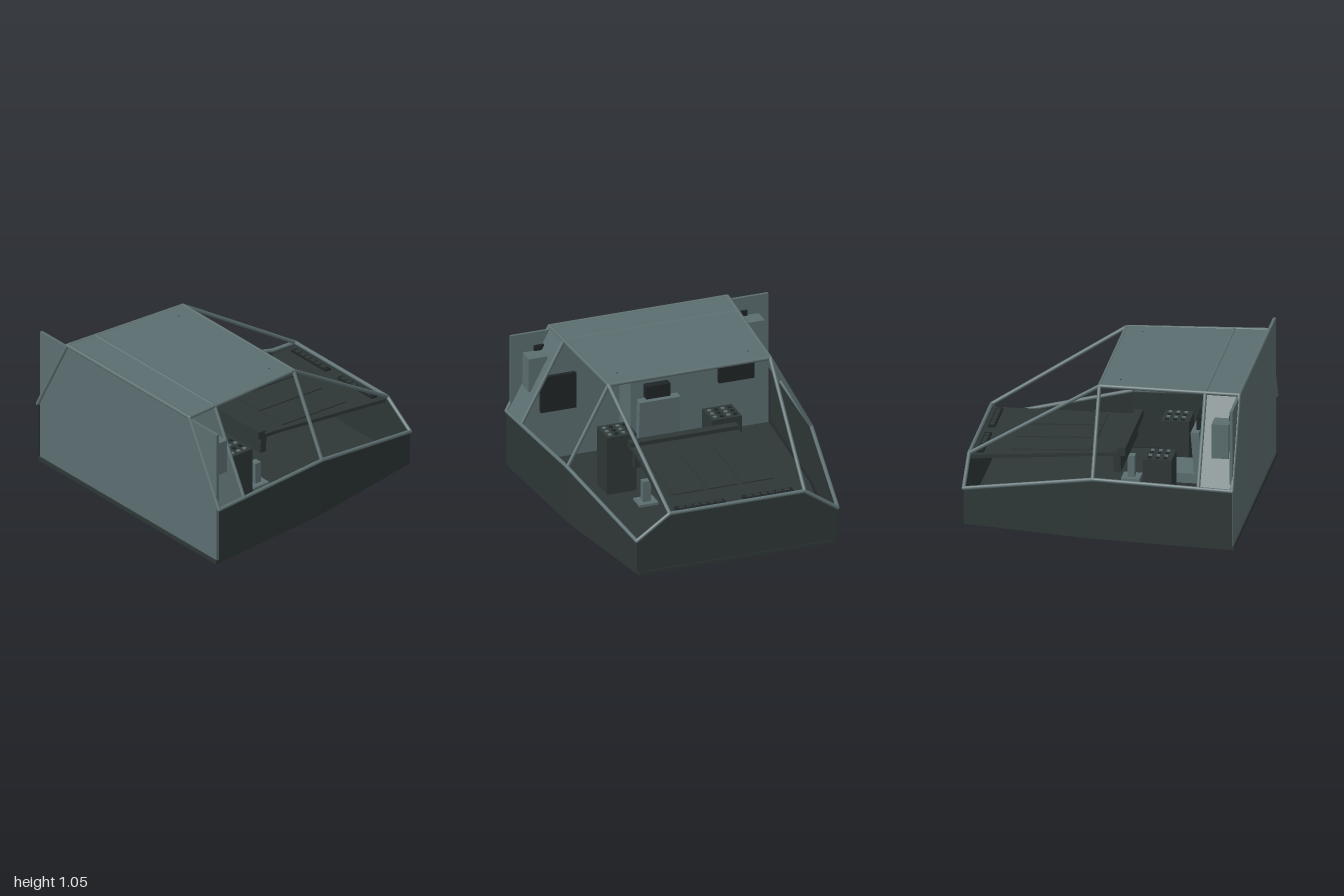
import * as THREE from 'three';

const mat = (name, color, side = THREE.FrontSide) => {
  const m = new THREE.MeshStandardMaterial({ color, side });
  m.name = name;
  return m;
};

export function createModel() {
  const root = new THREE.Group();
  root.name = 'cockpit';
  const light = mat('grey green panel', 0x5c6e70, THREE.DoubleSide);
  const frame = mat('frame grey', 0x5f7173);
  const dark = mat('dark hull', 0x2e3736, THREE.DoubleSide);
  const black = mat('near black trim', 0x1f2526);
  const steel = mat('steel', 0x8d8d90);

  const add = (name, geo, m, parent = root) => {
    const mesh = new THREE.Mesh(geo, m);
    mesh.name = name;
    parent.add(mesh);
    return mesh;
  };
  // box given by its lower and upper corners
  const box = (name, a, b, m, parent) => {
    const g = new THREE.BoxGeometry(b[0] - a[0], b[1] - a[1], b[2] - a[2]);
    const mesh = add(name, g, m, parent);
    mesh.position.set((a[0] + b[0]) / 2, (a[1] + b[1]) / 2, (a[2] + b[2]) / 2);
    return mesh;
  };
  // box with x mirrored for the other side
  const pairBox = (name, a, b, m) => {
    box(name + 'Left', a, b, m);
    box(name + 'Right', [-b[0], a[1], a[2]], [-a[0], b[1], b[2]], m);
  };
  // round bar with ball ends
  const bar = (name, a, b, m = frame, r = 0.014) => {
    const p = new THREE.Vector3(...a), q = new THREE.Vector3(...b);
    const d = q.clone().sub(p);
    const mesh = add(name, new THREE.CapsuleGeometry(r, d.length(), 3, 10), m);
    mesh.position.copy(p).add(q).multiplyScalar(0.5);
    mesh.quaternion.setFromUnitVectors(new THREE.Vector3(0, 1, 0), d.normalize());
  };
  // flat convex plate through corner points
  const plate = (name, pts, m) => {
    const g = new THREE.BufferGeometry();
    g.setAttribute('position', new THREE.Float32BufferAttribute(pts.flat(), 3));
    const idx = [];
    for (let i = 1; i < pts.length - 1; i++) idx.push(0, i, i + 1);
    g.setIndex(idx);
    const flat = g.toNonIndexed();
    flat.computeVertexNormals();
    return add(name, flat, m);
  };
  // horizontal outline (x, z) extruded upwards
  const slab = (name, outline, h, m) => {
    const s = new THREE.Shape(outline.map(([x, z]) => new THREE.Vector2(x, -z)));
    const g = new THREE.ExtrudeGeometry(s, { depth: h, bevelEnabled: false });
    return add(name, g.rotateX(-Math.PI / 2), m);
  };

  // floor
  slab('floor', [[-0.96, 0.97], [0.96, 0.97], [0.885, -0.03], [0.725, -0.965],
    [-0.725, -0.965], [-0.885, -0.03]], 0.028, dark);

  // rear bulkhead and roof
  box('rearBulkhead', [-0.955, 0.028, 0.94], [0.955, 1.02, 0.96], light);
  const roof = slab('roof', [[-0.655, 0.965], [0.655, 0.965], [0.6, -0.03], [-0.6, -0.03]], 0.012, light);
  roof.position.y = 1.024;
  roof.rotation.x = -0.008;

  // side walls, sloped corner panels and the space frame
  for (const s of [1, -1]) {
    const side = s > 0 ? 'Left' : 'Right';
    const rear = [s * 0.98, 0.44, 0.96], rib = [s * 0.962, 0.44, 0.72];
    const mid = [s * 0.905, 0.445, -0.03], nose = [s * 0.745, 0.27, -0.96];
    const roofRear = [s * 0.66, 1.038, 0.96], roofRib = [s * 0.645, 1.034, 0.72];
    const roofMid = [s * 0.6, 1.025, -0.03], cowl = [s * 0.5, 0.44, -0.96];
    const low = ([x, , z]) => [x, 0.028, z];
    [[rear, rib], [rib, mid], [mid, nose]].forEach(([a, b], i) =>
      plate('sideWall' + side + i, [low(a), low(b), b, a], dark));
    plate('cornerPanel' + side, [rear, rib, roofRib, roofRear], light);
    [[rear, mid], [mid, nose], [rear, roofRear], [rib, roofRib], [mid, roofMid],
      [roofRear, roofMid], [roofMid, cowl], [cowl, nose]].forEach(([a, b], i) =>
      bar('frameBar' + side + i, a, b));
    // ceiling rail with its end bolt
    bar('ceilingRail' + side, [s * 0.485, 0.992, 0.93], [s * 0.485, 0.992, 0.11], steel, 0.007);
    bar('railBolt' + side, [s * 0.485, 0.99, 0.1], [s * 0.485, 1.035, 0.1], black, 0.006);
  }
  [['roofRearBar', 0.66, 1.038, 0.96], ['roofRibBar', 0.645, 1.034, 0.72],
    ['roofFrontBar', 0.6, 1.025, -0.03], ['cowlBar', 0.5, 0.44, -0.96]].forEach(([n, x, y, z]) =>
    bar(n, [-x, y, z], [x, y, z]));

  // nose wall
  plate('noseWall', [[-0.745, 0.028, -0.96], [0.745, 0.028, -0.96], [0.745, 0.27, -0.96],
    [0.5, 0.44, -0.96], [-0.5, 0.44, -0.96], [-0.745, 0.27, -0.96]], dark);

  // sloping instrument deck with raised panels, laid out flat and then tilted
  const deck = new THREE.Group();
  deck.name = 'instrumentDeck';
  deck.position.set(0, 0.468, 0.1);
  deck.rotation.x = -0.043;
  root.add(deck);
  const top = slab('deckTop', [[-0.4, 0.02], [0.4, 0.02], [0.4, -0.13], [0.49, -1.05],
    [-0.49, -1.05], [-0.4, -0.13]], 0.026, dark);
  top.position.y = -0.026;
  deck.add(top);
  for (const [x0, x1] of [[-0.37, -0.14], [-0.115, 0.115], [0.14, 0.37]])
    box('deckPanel', [x0, 0, -0.79], [x1, 0.008, -0.22], dark, deck);
  for (const x of [-0.25, 0.25]) {
    box('deckVent', [x - 0.185, 0, -1.02], [x + 0.185, 0.014, -0.97], black, deck);
    for (let i = 0; i < 6; i++)
      box('ventSlat', [x - 0.16 + i * 0.055, 0.014, -1.01], [x - 0.12 + i * 0.055, 0.018, -0.98], dark, deck);
  }
  box('deckHood', [-0.4, -0.01, -0.04], [0.4, 0.03, 0.02], dark, deck);
  box('deckFace', [-0.38, -0.15, -0.07], [0.38, -0.02, -0.02], dark, deck);

  // pedal stands
  pairBox('pedalBase', [0.22, 0.028, -0.01], [0.36, 0.045, 0.12], light);
  pairBox('pedalPost', [0.26, 0.045, 0.03], [0.32, 0.2, 0.08], light);

  // side consoles with rows of buttons
  pairBox('console', [0.28, 0.028, 0.26], [0.5, 0.465, 0.46], dark);
  for (const s of [1, -1])
    for (let r = 0; r < 3; r++)
      for (let c = 0; c < 4; c++) {
        const x = s * 0.39 - 0.075 + c * 0.05, z = 0.3 + r * 0.055;
        box('consoleButton', [x - 0.012, 0.465, z - 0.012], [x + 0.012, 0.473, z + 0.012], c % 2 ? light : black);
      }

  // pilot seat
  box('seatBase', [-0.1, 0.028, 0.4], [0.1, 0.18, 0.58], dark);
  box('seatCushion', [-0.16, 0.18, 0.34], [0.16, 0.25, 0.6], light);
  const back = box('seatBack', [-0.15, 0.22, 0.55], [0.15, 0.55, 0.61], light);
  back.rotation.x = -0.08;
  box('headrest', [-0.09, 0.55, 0.57], [0.09, 0.645, 0.63], black);

  // equipment at the rear: locker, screens and corner boxes
  box('rearLocker', [-0.15, 0.028, 0.72], [0.15, 1.01, 0.94], light);
  pairBox('rearScreen', [0.53, 0.47, 0.78], [0.79, 0.74, 0.81], black);
  pairBox('screenMount', [0.62, 0.56, 0.81], [0.7, 0.64, 0.94], dark);
  pairBox('cornerBox', [0.735, 0.64, 0.8], [0.875, 0.89, 0.92], light);
  pairBox('boxHandle', [0.72, 0.88, 0.91], [0.79, 0.93, 0.925], black);

  return root;
}
